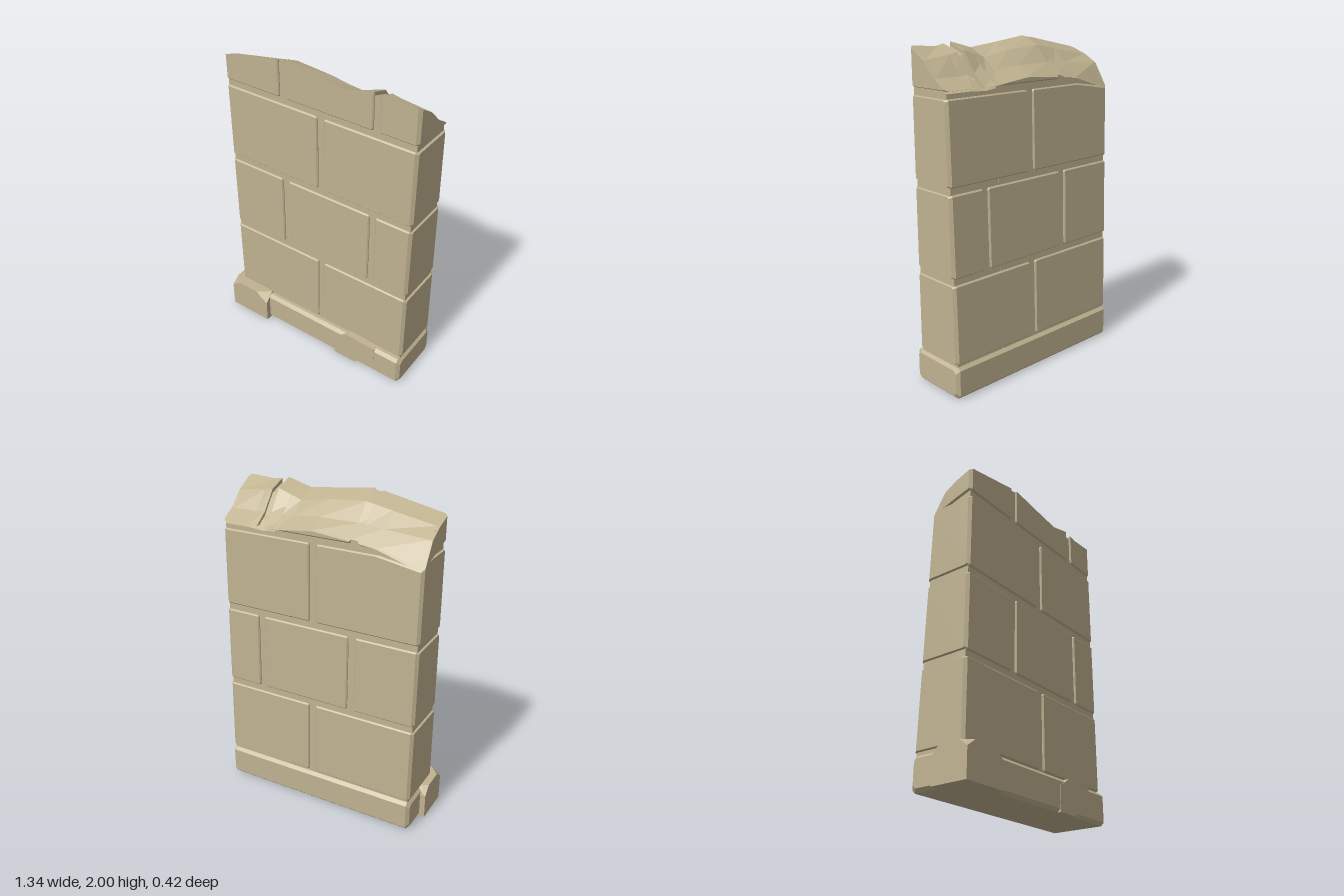
import * as THREE from 'three';
import { ConvexGeometry } from 'three/addons/geometries/ConvexGeometry.js';

const stone = new THREE.MeshStandardMaterial({ color: 0xbfb290, flatShading: true });

// Broken top: heights at four depths (front to back) for stations along x
const TOP_Z = [0.145, 0.03, -0.06, -0.16];
const TOP = [
  [-0.63, 1.91, 1.87, 1.82, 1.66],
  [-0.35, 1.967, 1.92, 1.84, 1.75],
  [-0.19, 2.0, 1.95, 1.85, 1.77],
  [0.05, 1.97, 1.93, 1.85, 1.79],
  [0.23, 1.95, 1.9, 1.83, 1.77],
  [0.38, 1.99, 1.95, 1.83, 1.75],
  [0.48, 1.97, 1.93, 1.82, 1.76],
  [0.66, 1.98, 1.91, 1.82, 1.76],
];
const clamp = THREE.MathUtils.clamp, lerp = THREE.MathUtils.lerp;

function topHeight(x, z) {
  let i = 0, k = 0;
  while (i < TOP.length - 2 && x > TOP[i + 1][0]) i++;
  while (k < 2 && z < TOP_Z[k + 1]) k++;
  const t = clamp((x - TOP[i][0]) / (TOP[i + 1][0] - TOP[i][0]), 0, 1);
  const s = clamp((z - TOP_Z[k]) / (TOP_Z[k + 1] - TOP_Z[k]), 0, 1);
  const at = (n) => lerp(TOP[i][n], TOP[i + 1][n], t);
  return lerp(at(k + 1), at(k + 2), s);
}

// The rear face leans in towards the top
const leaningBack = (y) => lerp(-0.2, -0.157, clamp((y - 0.22) / 1.54, 0, 1));

// Chamfered block lofted along x and cut off by the broken top
function block(name, { x0, x1, y0, y1, c0 = 0.007, c1 = 0.007, b = 0.007, front = 0.145, back = leaningBack, drop = 0 }) {
  const section = (x, cz, iy) => {
    const f = front - cz, lo = y0 + iy, hi = y1 - iy;
    const r = (y) => back(y) + cz;
    const ring = [
      [f, lo + b], [f - b, lo], [r(lo) + b, lo], [r(lo), lo + b],
      [r(hi), hi - b], [r(hi) + b, hi], [-0.06, hi], [0.03, hi], [f - b, hi], [f, hi - b],
    ];
    return ring.map(([z, y]) => [x, Math.min(y, topHeight(x, z) - drop), z]);
  };
  const inner = TOP.map((s) => s[0]).filter((x) => x > x0 + c0 + 0.01 && x < x1 - c1 - 0.01);
  const rings = [
    section(x0, c0, b),
    ...[x0 + c0, ...inner, x1 - c1].map((x) => section(x, 0, 0)),
    section(x1, c1, b),
  ];
  const n = rings[0].length, index = [], last = (rings.length - 1) * n;
  for (let i = 0; i < rings.length - 1; i++) {
    for (let j = 0; j < n; j++) {
      const a = i * n + j, d = i * n + (j + 1) % n;
      index.push(a, d, a + n, d, d + n, a + n);
    }
  }
  for (let j = 1; j < n - 1; j++) index.push(0, j + 1, j, last, last + j, last + j + 1);
  const indexed = new THREE.BufferGeometry();
  indexed.setAttribute('position', new THREE.Float32BufferAttribute(rings.flat(2), 3));
  indexed.setIndex(index);
  const geometry = indexed.toNonIndexed();
  geometry.computeVertexNormals();
  return named(name, geometry);
}

function named(name, geometry) {
  const mesh = new THREE.Mesh(geometry, stone);
  mesh.name = name;
  return mesh;
}

export function createModel() {
  const model = new THREE.Group();
  model.name = 'brokenWall';

  // Courses of stones, with alternating joints
  const left = -0.63, right = 0.66;
  const middleJoint = [[left, 0.025], [0.07, right]];
  const offsetJoints = [[left, -0.235], [-0.19, 0.385], [0.425, right]];
  const courses = [
    [0.215, 0.69, middleJoint], [0.73, 1.205, offsetJoints],
    [1.245, 1.72, middleJoint], [1.76, 2.4, offsetJoints],
  ];
  const stones = new THREE.Group();
  stones.name = 'stones';
  for (const [y0, y1, spans] of courses) {
    for (const [x0, x1] of spans) {
      stones.add(block('stone', {
        x0, x1, y0, y1,
        c0: x0 === left ? 0.017 : 0.007,
        c1: x1 === right ? 0.017 : 0.007,
      }));
    }
  }
  model.add(stones);

  // Mortar core seen in the joints; the joint on the right is open at the top
  const core = { y0: 0.19, y1: 2.4, c0: 0.001, c1: 0.001, b: 0.001, front: 0.133, back: (y) => leaningBack(y) + 0.012 };
  model.add(block('mortar', { ...core, x0: -0.618, x1: 0.3 }));
  model.add(block('mortar', { ...core, x0: 0.3, x1: 0.648, drop: 0.022 }));

  // Plinth with chamfered edges
  model.add(block('plinth', {
    x0: -0.635, x1: 0.665, y0: 0, y1: 0.2, c0: 0.02, c1: 0.02, b: 0.02, front: 0.175, back: () => -0.207,
  }));

  // Chipped unworn piece on the plinth front
  const chip = new THREE.Shape([
    [0.18, 0], [0.33, 0], [0.48, 0.11], [0.48, 0.2], [0.27, 0.21], [0.18, 0.15],
  ].map(([x, y]) => new THREE.Vector2(x, y)));
  const chipGeometry = new THREE.ExtrudeGeometry(chip, { depth: 0.078, bevelEnabled: false });
  chipGeometry.translate(0, 0, 0.1);
  model.add(named('plinthChip', chipGeometry));

  // Projecting corner stone with broken corners
  const corner = [
    [-0.67, 0, 0.21], [-0.37, 0, 0.21], [-0.37, 0, 0.1], [-0.67, 0, -0.03], [-0.6, 0, -0.03],
    [-0.67, 0.17, 0.21], [-0.61, 0.215, 0.21], [-0.67, 0.215, 0.15],
    [-0.46, 0.215, 0.21], [-0.37, 0.15, 0.21], [-0.37, 0.215, 0.145], [-0.37, 0.215, 0.1],
    [-0.67, 0.215, 0.02], [-0.63, 0.215, 0], [-0.6, 0.215, -0.01], [-0.67, 0.16, -0.03], [-0.6, 0.16, -0.03],
  ].map((p) => new THREE.Vector3(...p));
  model.add(named('cornerStone', new ConvexGeometry(corner)));

  return model;
}
